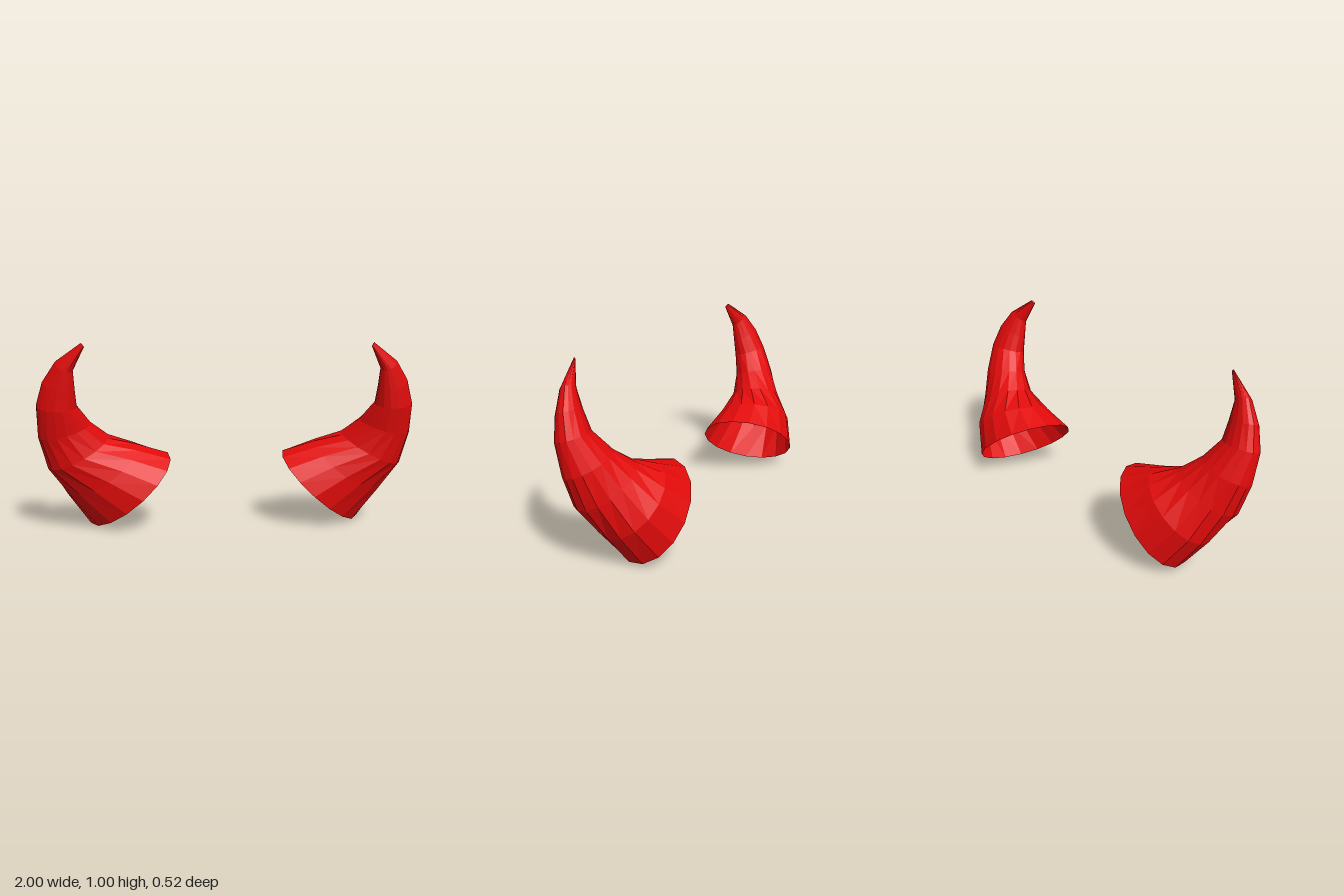
import * as THREE from 'three';

const SIDES = 16;

// Cross-sections from the open base to the tip:
// centre, u = half-axis to the outer curve, v = half-axis to the front
const RINGS = [
  { c: [0.537, 0.195, -0.018], u: [0.215, -0.195, 0], v: [-0.08, -0.02, 0.242] },
  { c: [0.68, 0.31, 0.01], u: [0.19, -0.135, 0], v: [-0.047, -0.035, 0.197] },
  { c: [0.8, 0.42, 0.066], u: [0.16, -0.07, -0.01], v: [0.018, -0.05, 0.14] },
  { c: [0.865, 0.545, 0.11], u: [0.133, -0.025, -0.02], v: [0.026, -0.035, 0.105] },
  { c: [0.895, 0.675, 0.16], u: [0.105, 0.005, -0.012], v: [0.002, -0.025, 0.08] },
  { c: [0.878, 0.78, 0.188], u: [0.083, 0.02, -0.01], v: [0, -0.025, 0.058] },
  { c: [0.845, 0.88, 0.215], u: [0.046, 0.02, -0.006], v: [0, -0.02, 0.037] },
  { c: [0.744, 0.99, 0.252], u: [0.007, 0.009, -0.004], v: [-0.004, -0.004, 0.008] },
];

// Curved horn lofted through the rings; side is +1 (left) or -1 (right)
function hornGeometry(side) {
  const pos = [];
  const index = [];
  const tri = (a, b, c) => (side > 0 ? index.push(a, b, c) : index.push(a, c, b));

  for (const { c, u, v } of RINGS) {
    for (let j = 0; j < SIDES; j++) {
      const t = (j / SIDES) * Math.PI * 2;
      const p = c.map((k, n) => k + u[n] * Math.cos(t) + v[n] * Math.sin(t));
      pos.push(p[0] * side, p[1], p[2]);
    }
  }

  for (let i = 0; i < RINGS.length - 1; i++) {
    for (let j = 0; j < SIDES; j++) {
      const k = (j + 1) % SIDES;
      const a = i * SIDES + j, b = i * SIDES + k;
      tri(a, a + SIDES, b);
      tri(b, a + SIDES, b + SIDES);
    }
  }

  // Small blunt cap at the tip
  const last = (RINGS.length - 1) * SIDES;
  for (let j = 1; j < SIDES - 1; j++) tri(last, last + j + 1, last + j);

  const indexed = new THREE.BufferGeometry();
  indexed.setAttribute('position', new THREE.Float32BufferAttribute(pos, 3));
  indexed.setIndex(index);
  const geometry = indexed.toNonIndexed();
  geometry.computeVertexNormals();
  return geometry;
}

export function createModel() {
  const red = new THREE.MeshStandardMaterial({ color: 0xe20a0a, flatShading: true, side: THREE.DoubleSide });
  red.name = 'hornRed';

  const group = new THREE.Group();
  group.name = 'hornPair';
  for (const [name, side] of [['leftHorn', 1], ['rightHorn', -1]]) {
    const horn = new THREE.Mesh(hornGeometry(side), red);
    horn.name = name;
    group.add(horn);
  }
  return group;
}
